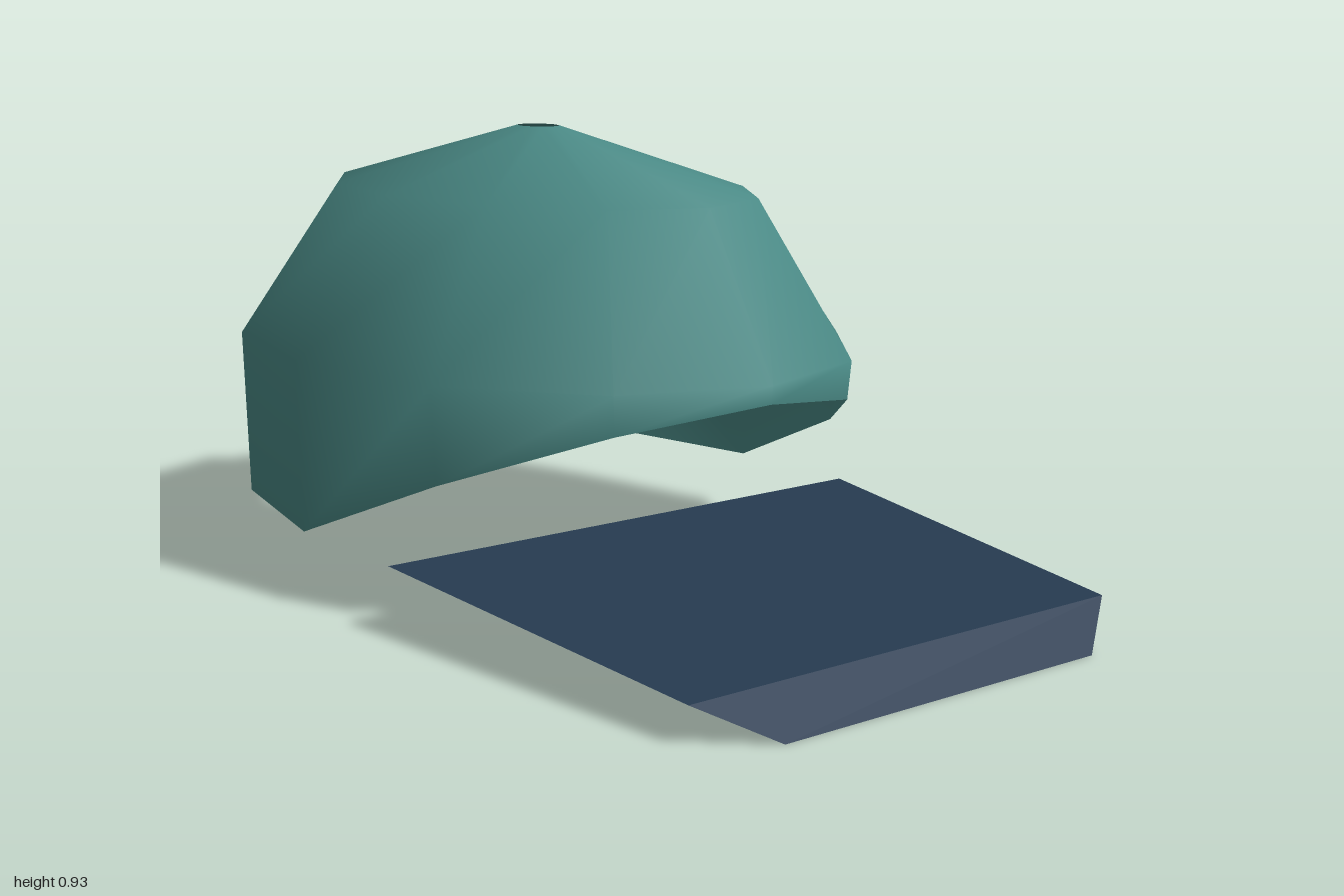
import * as THREE from 'three';

const SEGMENTS = 12;
const CENTRE_Z = -0.235;

// Joins rows of points into a surface; closed rows wrap round.
function skin(rows, closed) {
  const n = rows[0].length;
  const index = [];
  for (let r = 0; r < rows.length - 1; r++) {
    for (let i = 0; i < (closed ? n : n - 1); i++) {
      const j = (i + 1) % n;
      const a = r * n + i, b = r * n + j, c = a + n, d = b + n;
      index.push(a, b, d, a, d, c);
    }
  }
  const geometry = new THREE.BufferGeometry();
  geometry.setAttribute('position', new THREE.Float32BufferAttribute(rows.flat(2), 3));
  geometry.setIndex(index);
  geometry.computeVertexNormals();
  return geometry;
}

// One elliptical ring of the crown; lift raises its front half.
function ring({ rx, rz, y, lift = 0 }) {
  return Array.from({ length: SEGMENTS }, (_, i) => {
    const a = (i / SEGMENTS) * Math.PI * 2;
    return [rx * Math.sin(a), y + lift * Math.max(0, Math.cos(a)), CENTRE_Z + rz * Math.cos(a)];
  });
}

export function createModel() {
  const crownGreen = new THREE.MeshStandardMaterial({ color: 0x4a8985, side: THREE.DoubleSide });
  crownGreen.name = 'crownGreen';
  const brimNavy = new THREE.MeshStandardMaterial({ color: 0x263a50, side: THREE.DoubleSide });
  brimNavy.name = 'brimNavy';

  const cap = new THREE.Group();
  cap.name = 'cap';

  // Crown: open shell with a small hole on top and a raised front edge
  const crown = new THREE.Mesh(skin([
    { rx: 0.588, rz: 0.76, y: 0.127, lift: 0.316 },
    { rx: 0.6, rz: 0.765, y: 0.48 },
    { rx: 0.38, rz: 0.575, y: 0.8 },
    { rx: 0.04, rz: 0.053, y: 0.927 },
  ].map(ring), true), crownGreen);
  crown.name = 'crown';
  cap.add(crown);

  // Brim: thin sheet with a bent front lip, one crisp panel per bend
  const brim = new THREE.Group();
  brim.name = 'brim';
  const edges = [[0.38, 0, 1], [0.512, 0.07, 0.91], [0.588, 0.13, 0.095]]
    .map(([x, y, z]) => [[-x, y, z], [x, y, z]]);
  ['brimLip', 'brimPanel'].forEach((name, i) => {
    const panel = new THREE.Mesh(skin([edges[i], edges[i + 1]], false), brimNavy);
    panel.name = name;
    brim.add(panel);
  });
  cap.add(brim);

  return cap;
}
